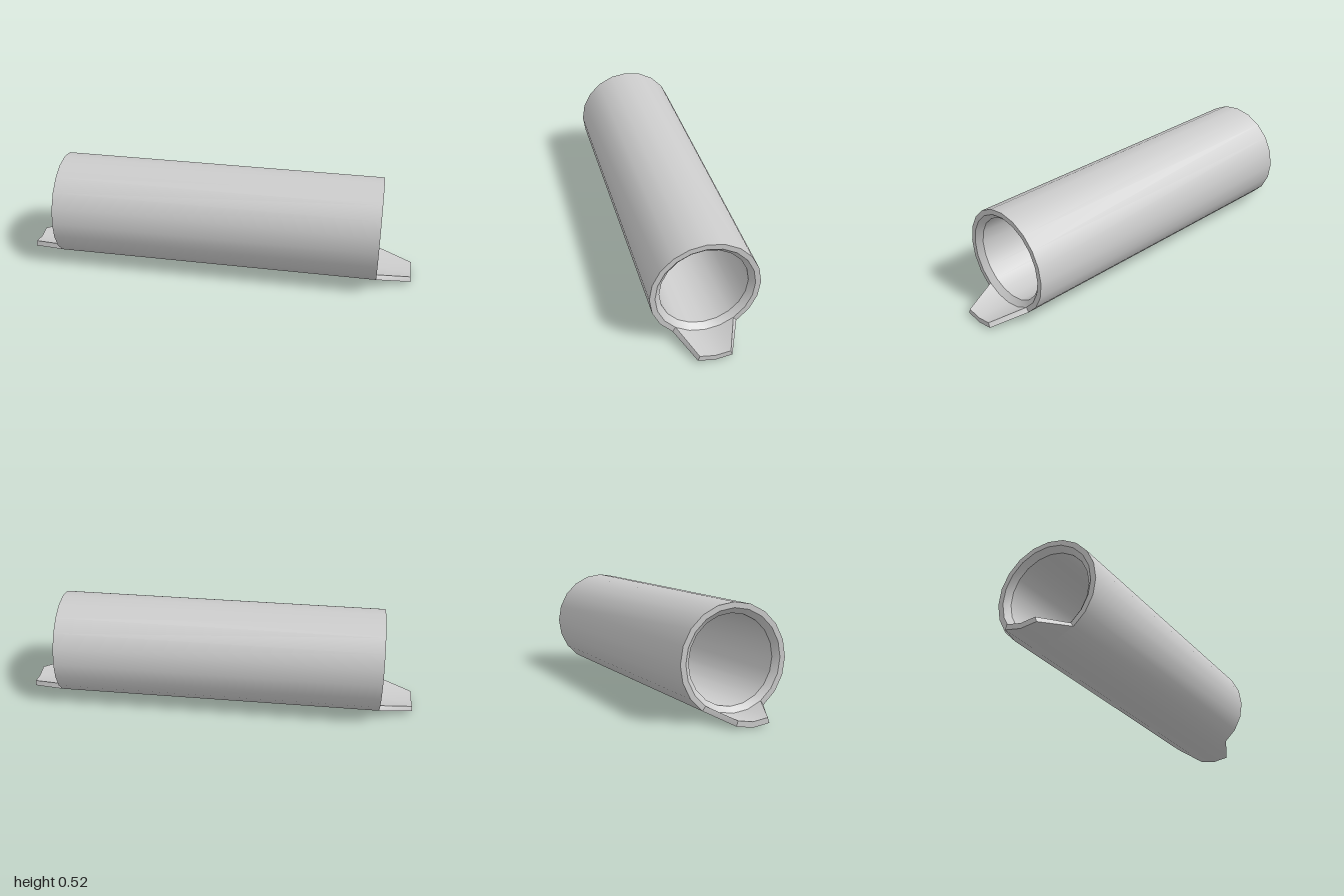
import * as THREE from 'three';
import { toCreasedNormals } from 'three/addons/utils/BufferGeometryUtils.js';

const OUTER = 0.262, RIM = 0.236, BORE = 0.21; // radii
const HALF = 0.827;                            // half length of the tube
const BEVEL = 0.027;                           // depth of the bevel inside each mouth
const SIDES = 20, STEP = (Math.PI * 2) / SIDES;

const material = new THREE.MeshStandardMaterial({ color: 0xcccccc });

function addMesh(parent, name, geometry) {
  const mesh = new THREE.Mesh(toCreasedNormals(geometry, 0.5), material);
  mesh.name = name;
  parent.add(mesh);
  return mesh;
}

// Hollow pipe lying along x, with bevelled mouths
function tubeGeometry() {
  const profile = [
    [OUTER, -HALF], [OUTER, HALF], [RIM, HALF], [BORE, HALF - BEVEL],
    [BORE, -HALF + BEVEL], [RIM, -HALF], [OUTER, -HALF],
  ].map(([r, y]) => new THREE.Vector2(r, y));
  return new THREE.LatheGeometry(profile, SIDES).rotateZ(-Math.PI / 2);
}

// Curved lip that continues the pipe wall: four facets wide at the mouth, two at the tip
function lipGeometry() {
  const geometry = new THREE.BoxGeometry(1, 1, 1, 1, 1, 4);
  const p = geometry.attributes.position;
  for (let i = 0; i < p.count; i++) {
    const tip = p.getX(i) > 0;
    const limit = tip ? 1 : 2;
    const facet = THREE.MathUtils.clamp(Math.round(p.getZ(i) * 4), -limit, limit);
    const r = p.getY(i) > 0 ? RIM : OUTER;
    p.setXYZ(i, tip ? 1 : HALF, -r * Math.cos(facet * STEP), r * Math.sin(facet * STEP));
  }
  return geometry;
}

export function createModel() {
  const group = new THREE.Group();
  group.name = 'pipeWithLips';

  addMesh(group, 'tube', tubeGeometry());
  addMesh(group, 'leftLip', lipGeometry());
  addMesh(group, 'rightLip', lipGeometry().rotateY(Math.PI));

  // Rest the pipe on the floor
  group.children.forEach((part) => { part.position.y = OUTER; });
  return group;
}
